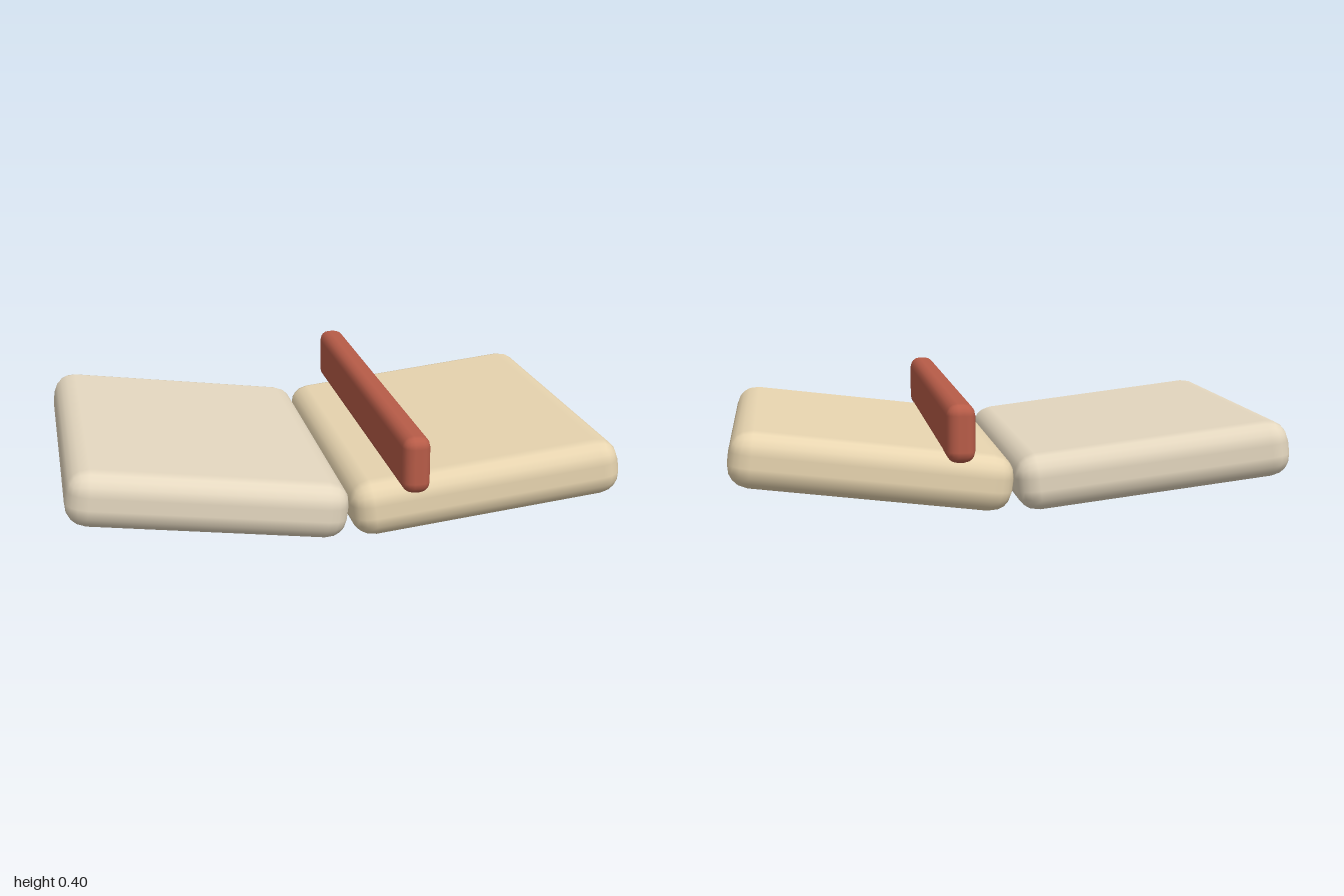
import * as THREE from 'three';
import { RoundedBoxGeometry } from 'three/addons/geometries/RoundedBoxGeometry.js';

function roundedBlock(name, [w, h, d], radius, color, [x, y, z]) {
  const mesh = new THREE.Mesh(
    new RoundedBoxGeometry(w, h, d, 2, radius),
    new THREE.MeshStandardMaterial({ color })
  );
  mesh.name = name;
  mesh.position.set(x, y, z);
  return mesh;
}

export function createModel() {
  const group = new THREE.Group();
  group.name = 'foldedSlabs';

  // Two slabs meeting in a shallow V along the centre line
  const tilt = 0.12;
  for (const [name, side, color] of [['leftSlab', 1, 0xe8d5b0], ['rightSlab', -1, 0xe5d8c0]]) {
    const slab = roundedBlock(name, [1, 0.205, 1.375], 0.08, color, [side * 0.5, 0.154, 0]);
    slab.rotation.z = side * tilt;
    group.add(slab);
  }

  // Upright bar lying across the left slab
  group.add(roundedBlock('crossBar', [0.1, 0.205, 1.585], 0.04, 0xb85c48, [0.205, 0.303, 0]));

  return group;
}
